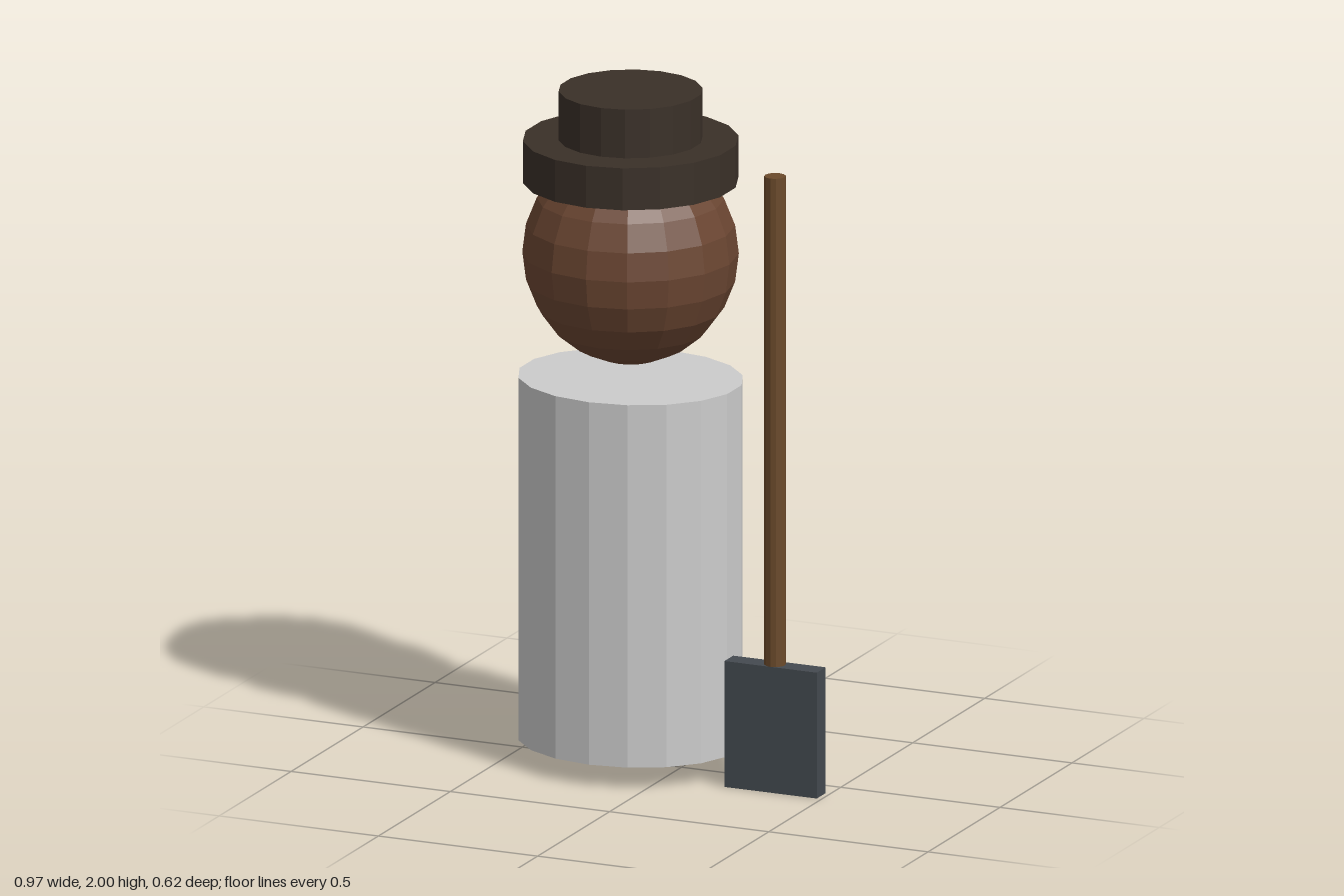
import * as THREE from 'three';

const material = (color) => new THREE.MeshStandardMaterial({ color, flatShading: true });

export function createModel() {
  const model = new THREE.Group();
  const felt = material(0x3a3028);
  const skin = material(0x6b4632);
  const wood = material(0x6b4a2b);
  const iron = material(0x444a50);
  const cloth = material(0xcccccc);

  const add = (parent, name, geometry, mat, x, y, z) => {
    const mesh = new THREE.Mesh(geometry, mat);
    mesh.name = name;
    mesh.position.set(x, y, z);
    parent.add(mesh);
    return mesh;
  };
  // upright cylinder spanning y0 to y1
  const column = (parent, name, radius, y0, y1, sides, mat, x = 0, z = 0) =>
    add(parent, name, new THREE.CylinderGeometry(radius, radius, y1 - y0, sides), mat, x, (y0 + y1) / 2, z);

  // Figure: slightly flattened body, round head, brimmed hat
  const figure = new THREE.Group();
  figure.name = 'figure';
  figure.position.x = -0.16;
  model.add(figure);

  column(figure, 'body', 0.331, 0.065, 1.145, 18, cloth).scale.z = 0.875;
  add(figure, 'head', new THREE.SphereGeometry(0.31, 16, 12), skin, 0, 1.515, 0).scale.y = 1.04;
  column(figure, 'hatBrim', 0.31, 1.73, 1.855, 18, felt);
  column(figure, 'hatCrown', 0.207, 1.855, 2, 18, felt);

  // Shovel standing beside the figure
  const shovel = new THREE.Group();
  shovel.name = 'shovel';
  shovel.position.set(0.34, 0, 0.103);
  model.add(shovel);

  column(shovel, 'shovelHandle', 0.031, 0.375, 1.83, 12, wood);
  add(shovel, 'shovelBlade', new THREE.BoxGeometry(0.29, 0.375, 0.061), iron, 0, 0.1875, 0);

  return model;
}
